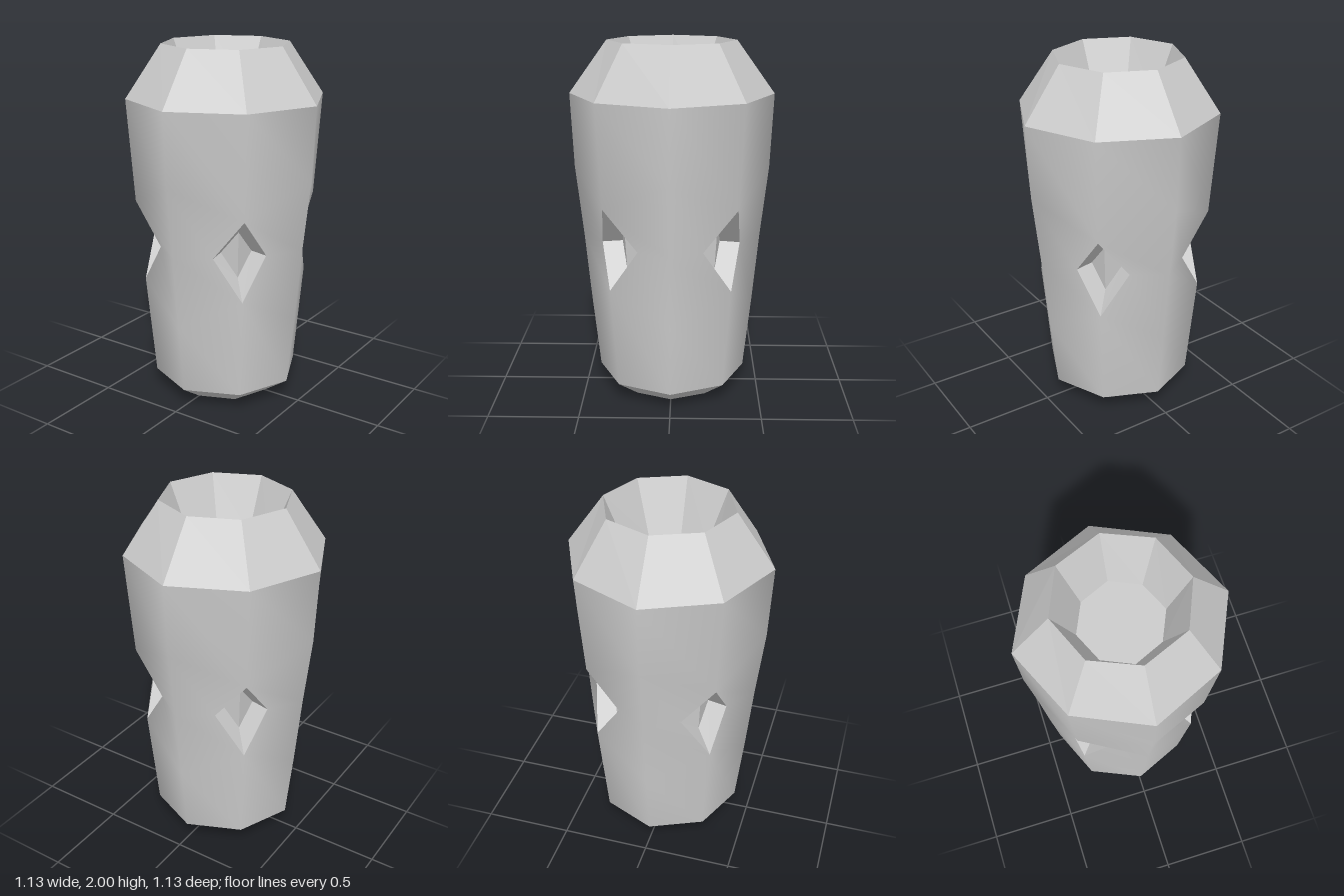
import * as THREE from 'three';
import { mergeVertices } from 'three/addons/utils/BufferGeometryUtils.js';

const material = new THREE.MeshStandardMaterial({ color: 0xcccccc });

// Geometry from quads [topLeft, bottomLeft, bottomRight, topRight]; smooth or faceted
function fromQuads(quads, smooth = false) {
  const points = [];
  const tri = (...corners) => {
    const [a, b, c] = corners.map(p => new THREE.Vector3(...p));
    if (new THREE.Triangle(a, b, c).getArea() > 1e-7) points.push(a, b, c);
  };
  for (const [a, b, c, d] of quads) {
    tri(a, b, c);
    tri(a, c, d);
  }
  let geometry = new THREE.BufferGeometry().setFromPoints(points);
  if (smooth) geometry = mergeVertices(geometry, 1e-4);
  geometry.computeVertexNormals();
  return geometry;
}

// Quarter turns about the vertical axis
const turn = ([x, y, z], k) => {
  for (let i = 0; i < k; i++) [x, z] = [z, -x];
  return [x, y, z];
};
const fourfold = quads =>
  [0, 1, 2, 3].flatMap(k => quads.map(q => q.map(p => turn(p, k))));

const onAxis = (r, y) => [0, y, r];
const onDiagonal = (r, y) => [r * Math.SQRT1_2, y, r * Math.SQRT1_2];

// Faceted octagonal bands through rings [radius on axes, radius on diagonals, y]
function octagonBands(rings) {
  const quads = [];
  for (let i = 0; i < rings.length - 1; i++) {
    const [a, d, y] = rings[i], [a2, d2, y2] = rings[i + 1];
    const top = [onAxis(a, y), onDiagonal(d, y), turn(onAxis(a, y), 1)];
    const low = [onAxis(a2, y2), onDiagonal(d2, y2), turn(onAxis(a2, y2), 1)];
    for (let j = 0; j < 2; j++) quads.push([top[j], low[j], low[j + 1], top[j + 1]]);
  }
  return fromQuads(fourfold(quads));
}

export function createModel() {
  const group = new THREE.Group();
  const add = (name, geometry) => {
    const mesh = new THREE.Mesh(geometry, material);
    mesh.name = name;
    group.add(mesh);
  };

  // Collar with sunken cup, and bevelled foot with recessed underside
  add('collar', octagonBands([
    [0, 0, 1.71], [0.235, 0.23, 1.71], [0.355, 0.354, 2], [0.565, 0.55, 1.71],
  ]));
  add('foot', octagonBands([
    [0.42, 0.414, 0.1], [0.275, 0.275, 0], [0.215, 0.215, 0.11], [0, 0, 0.11],
  ]));

  // Corners of the diamond opening on a diagonal, and of its smaller folded floor
  const opening = [onDiagonal(0.51, 1.14), [0.175, 0.91, 0.38],
    onDiagonal(0.467, 0.675), [0.38, 0.91, 0.175]];
  const floor = [onDiagonal(0.36, 1.04), [0.15, 0.91, 0.27],
    onDiagonal(0.34, 0.775), [0.27, 0.91, 0.15]];

  // Smooth tapering body, split around the openings
  const axisEdge = [[0.565, 1.71], [0.546, 1.3], [0.502, 0.91], [0.463, 0.5], [0.42, 0.1]]
    .map(([r, y]) => onAxis(r, y));
  const edgeVia = side => [onDiagonal(0.55, 1.71), opening[0], opening[side],
    opening[2], onDiagonal(0.414, 0.1)];
  const near = edgeVia(1), far = edgeVia(3);
  const nextAxis = axisEdge.map(p => turn(p, 1));
  const bodyQuads = [];
  for (let i = 0; i < 4; i++) {
    bodyQuads.push([axisEdge[i], axisEdge[i + 1], near[i + 1], near[i]]);
    bodyQuads.push([far[i], far[i + 1], nextAxis[i + 1], nextAxis[i]]);
  }
  add('body', fromQuads(fourfold(bodyQuads), true));

  // Diamond pits: four walls and a floor folded along its upright centre line
  const pitQuads = opening.map((p, i) => {
    const j = (i + 1) % 4;
    return [p, opening[j], floor[j], floor[i]];
  });
  pitQuads.push([floor[0], floor[1], floor[2], floor[3]]);
  add('diamondPits', fromQuads(fourfold(pitQuads)));

  return group;
}
